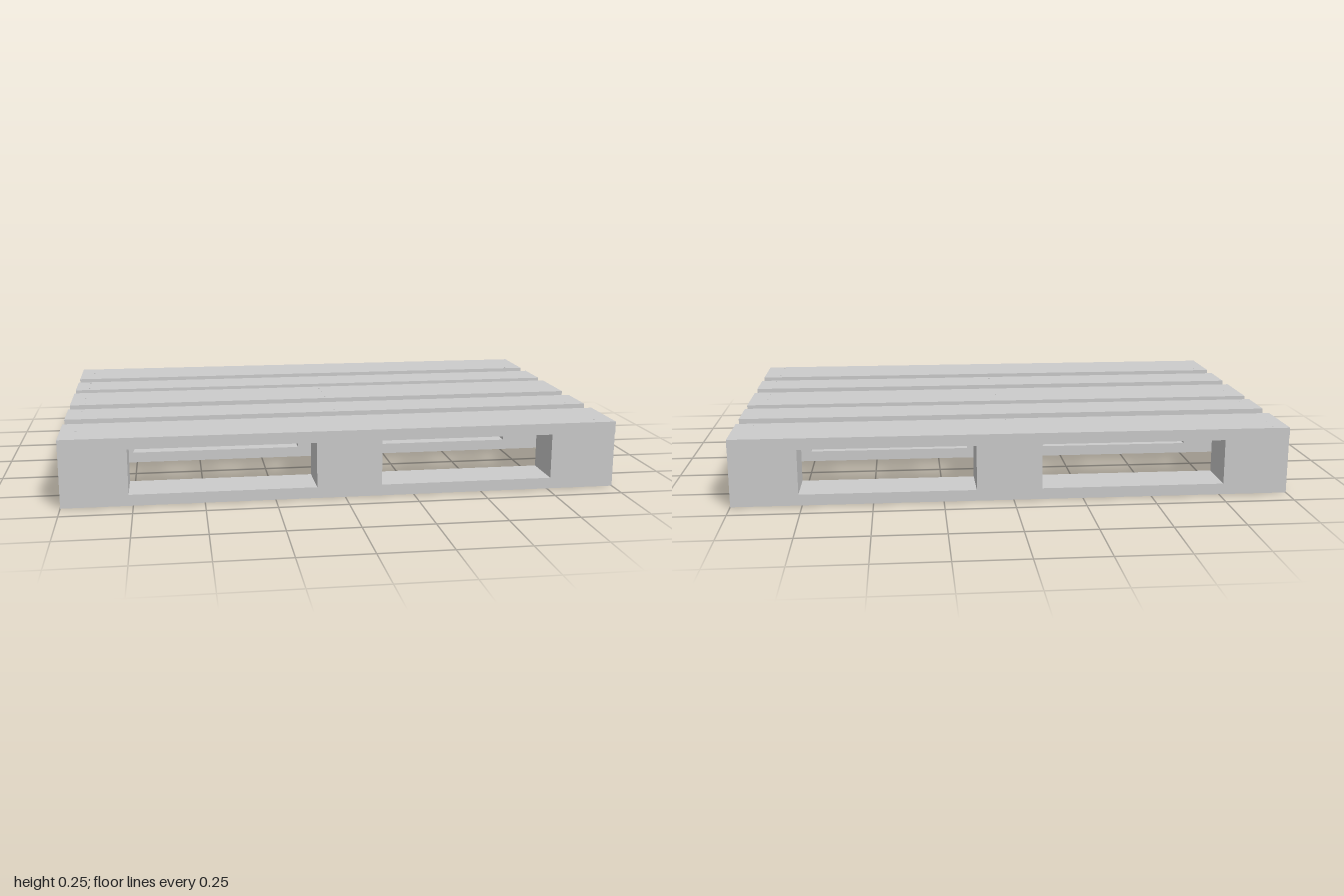
import * as THREE from 'three';

export function createModel() {
  const pallet = new THREE.Group();
  pallet.name = 'pallet';
  const wood = new THREE.MeshStandardMaterial({ color: 0xcccccc, flatShading: true });

  // Plank or block given by its [min, max] range on each axis
  const addBox = (name, [x0, x1], [y0, y1], [z0, z1]) => {
    const mesh = new THREE.Mesh(new THREE.BoxGeometry(x1 - x0, y1 - y0, z1 - z0), wood);
    mesh.position.set((x0 + x1) / 2, (y0 + y1) / 2, (z0 + z1) / 2);
    mesh.name = name;
    pallet.add(mesh);
  };

  const length = [-1, 1];
  const columns = [[-1, -0.765], [-0.102, 0.133], [0.762, 1]];
  const rows = [[-0.66, -0.49], [-0.085, 0.085], [0.49, 0.66]];
  const deck = [[-0.663, -0.432], [-0.357, -0.188], [-0.127, 0.107], [0.183, 0.353], [0.427, 0.663]];
  const [runnerTop, blockTop, bearerTop, deckTop] = [0.04, 0.166, 0.204, 0.245];

  // Bottom runners with a block at each crossing
  for (const z of rows) {
    addBox('runner', length, [0, runnerTop], z);
    for (const x of columns) addBox('block', x, [runnerTop, blockTop], z);
  }

  // Cross bearers over the blocks
  for (const x of columns) addBox('bearer', x, [blockTop, bearerTop], [-0.66, 0.66]);

  // Top deck boards
  for (const z of deck) addBox('deckBoard', length, [bearerTop, deckTop], z);

  // Nail heads, almost flush with the deck
  const nails = [
    [-0.945, [-0.635, -0.565, -0.325, -0.225, -0.02, 0.075, 0.215, 0.46, 0.54]],
    [0.01, [-0.455, -0.09, -0.02, 0.075, 0.325, 0.625]],
    [0.932, [-0.455, -0.09, -0.02, 0.075, 0.325, 0.46, 0.625]],
  ];
  const nailGeometry = new THREE.CylinderGeometry(0.003, 0.003, 0.004, 8);
  for (const [x, zs] of nails) {
    for (const z of zs) {
      const nail = new THREE.Mesh(nailGeometry, wood);
      nail.position.set(x, deckTop - 0.001, z);
      nail.name = 'nail';
      pallet.add(nail);
    }
  }
  return pallet;
}
